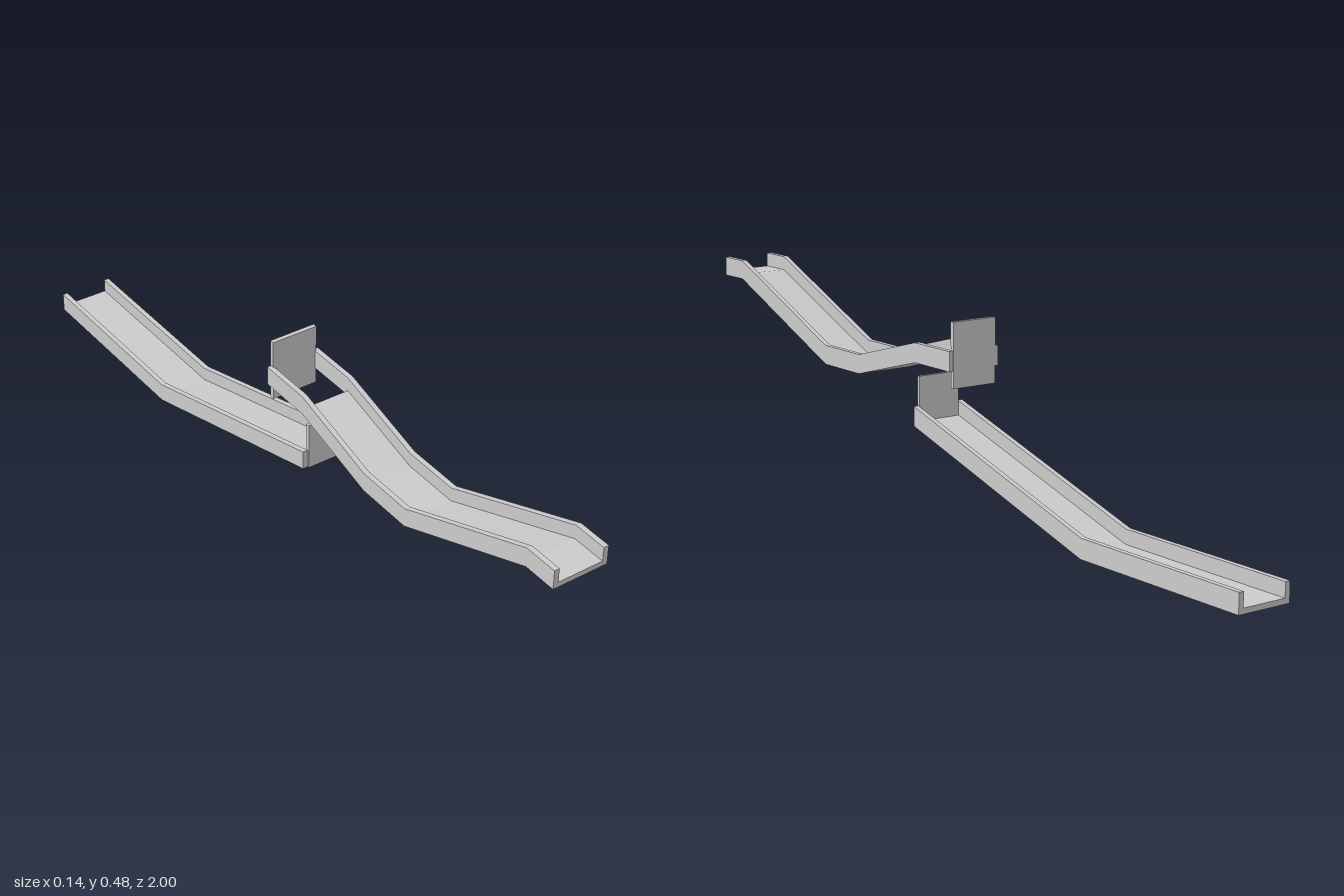
import * as THREE from 'three';

const WIDTH = 0.14;   // outer width of the channel
const RAIL = 0.013;   // rail thickness
const HEIGHT = 0.048; // rail height
const FLOOR = 0.013;  // floor thickness

const material = new THREE.MeshStandardMaterial({ color: 0xcccccc, flatShading: true });

// Band of constant vertical thickness along a [z, y] path, spanning x0..x1
function band(name, path, thickness, x0, x1) {
  const shape = new THREE.Shape();
  path.forEach(([z, y], i) => (i ? shape.lineTo(-z, y) : shape.moveTo(-z, y)));
  [...path].reverse().forEach(([z, y]) => shape.lineTo(-z, y + thickness));
  shape.closePath();
  const geometry = new THREE.ExtrudeGeometry(shape, { depth: x1 - x0, bevelEnabled: false });
  geometry.rotateY(Math.PI / 2); // shape x becomes -z, depth becomes +x
  geometry.translate(x0, 0, 0);
  const mesh = new THREE.Mesh(geometry, material);
  mesh.name = name;
  return mesh;
}

// U-shaped channel: floor between two rails
function channel(name, floorPath, railPath) {
  const group = new THREE.Group();
  group.name = name;
  const h = WIDTH / 2;
  group.add(
    band('floor', floorPath, FLOOR, -h + RAIL, h - RAIL),
    band('leftRail', railPath, HEIGHT, h - RAIL, h),
    band('rightRail', railPath, HEIGHT, -h, -h + RAIL)
  );
  return group;
}

function plate(name, width, y0, y1, z0, z1) {
  const mesh = new THREE.Mesh(new THREE.BoxGeometry(width, y1 - y0, z1 - z0), material);
  mesh.position.set(0, (y0 + y1) / 2, (z0 + z1) / 2);
  mesh.name = name;
  return mesh;
}

export function createModel() {
  const model = new THREE.Group();
  model.name = 'ballRun';

  // Upper track: the rails run on past the floor, leaving a drop gap
  const upperFloor = [[1, 0.436], [0.915, 0.436], [0.515, 0.271], [0.365, 0.271], [0.125, 0.336]];
  model.add(channel('upperTrack', upperFloor, [...upperFloor, [-0.015, 0.336]]));

  // Stop plate across the rail ends
  model.add(plate('stopPlate', 0.12, 0.295, 0.452, -0.017, -0.006));

  // Lower track
  const lower = [[0.13, 0.182], [-0.5, 0], [-1, 0]];
  model.add(channel('lowerTrack', lower, lower));

  // Back plate at the head of the lower track
  model.add(plate('catchPlate', 0.114, 0.182, 0.302, 0.125, 0.134));

  return model;
}
